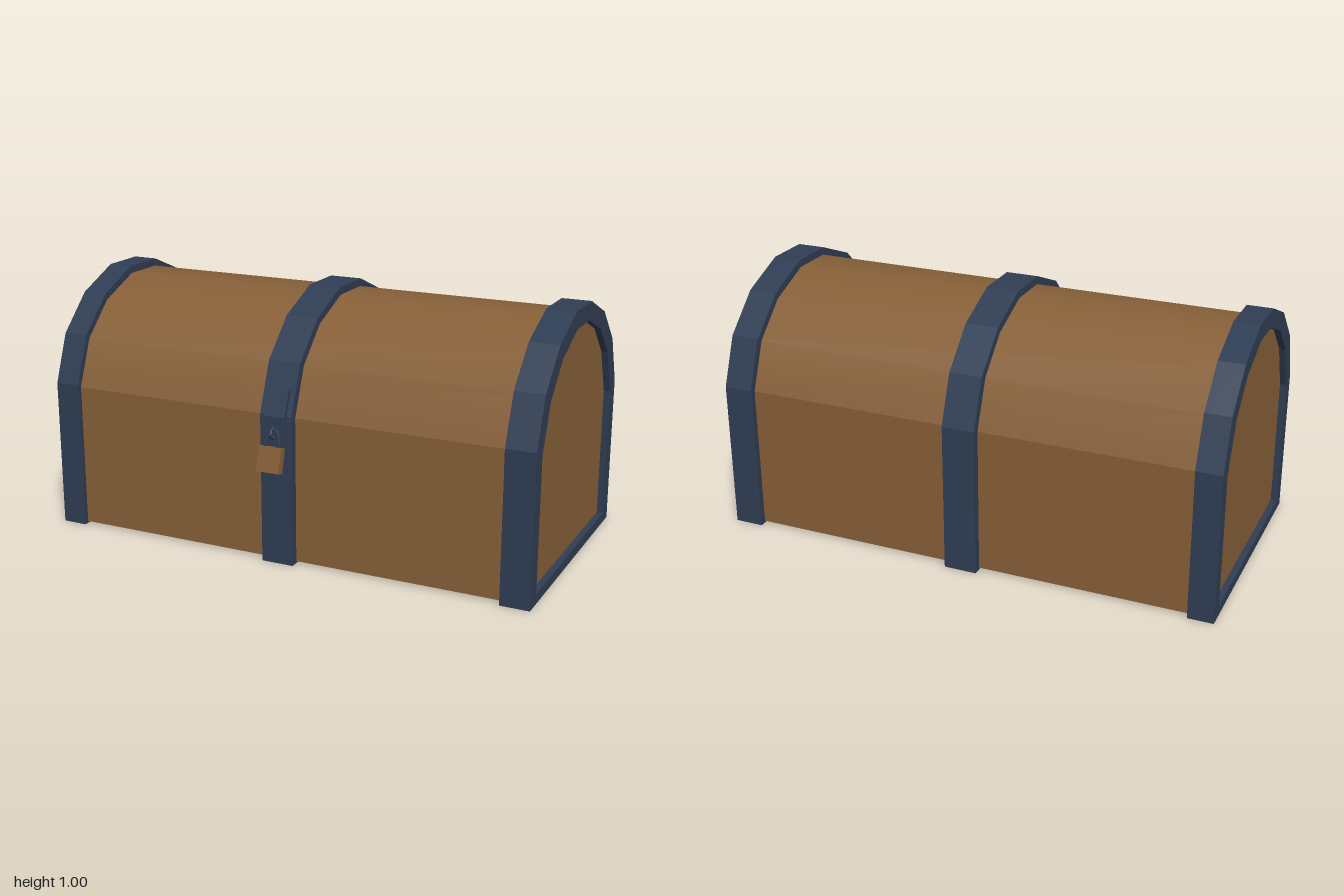
import * as THREE from 'three';
import { toCreasedNormals } from 'three/addons/utils/BufferGeometryUtils.js';

const ZC = -0.04; // depth centre of the chest

// Half arches as [half depth, height], from wall top to crown
const OUTER = [[0.512, 0.59], [0.437, 0.78], [0.29, 0.92], [0.095, 1.0]];
const WOOD = [[0.481, 0.58], [0.407, 0.765], [0.272, 0.895], [0.088, 0.97]];
const INNER = [[0.441, 0.56], [0.367, 0.74], [0.245, 0.86], [0.077, 0.93]];

// Closed profile: flat base at y = base, mirrored arch on top
function profile(half, base, scale = 1) {
  const side = base < half[0][1] ? [[half[0][0], base], ...half] : half;
  const pts = side.map(([d, y]) => new THREE.Vector2(d * scale, y));
  return [...pts, ...pts.map((p) => new THREE.Vector2(-p.x, p.y)).reverse()];
}

// Extrude a profile along x between x0 and x1
function prism(points, x0, x1, hole) {
  const shape = new THREE.Shape(points);
  if (hole) shape.holes.push(new THREE.Path(hole));
  return new THREE.ExtrudeGeometry(shape, { depth: x1 - x0, bevelEnabled: false })
    .rotateY(Math.PI / 2)
    .translate(x0, 0, ZC);
}

export function createModel() {
  const chest = new THREE.Group();
  chest.name = 'chest';
  const wood = new THREE.MeshStandardMaterial({ color: 0x865f38 });
  wood.name = 'wood brown';
  const iron = new THREE.MeshStandardMaterial({ color: 0x2f3d53 });
  iron.name = 'iron blue';

  const add = (name, geometry, material, parent = chest) => {
    const mesh = new THREE.Mesh(geometry, material);
    mesh.name = name;
    parent.add(mesh);
    return mesh;
  };

  // Wooden box and rounded lid
  add('box', new THREE.BoxGeometry(1.95, 0.572, 0.962).translate(0, 0.294, ZC), wood);
  add('lid', toCreasedNormals(prism(profile(WOOD, 0.58), -0.975, 0.975), 0.6), wood);

  // Iron bands: [name, x start, x end, depth scale]
  for (const [name, x0, x1, s] of [
    ['rightBand', -1, -0.9, 0.978],
    ['middleBand', -0.07, 0.06, 1.002],
    ['leftBand', 0.885, 1, 0.99],
  ]) {
    add(name, prism(profile(OUTER, 0, s), x0, x1, profile(INNER, 0.04)), iron);
  }

  // Hasp: lower plate on the wall, strap folding over the lid
  const front = ZC + 0.513;
  add('lockPlate', new THREE.BoxGeometry(0.13, 0.16, 0.02).translate(0, 0.5, front), iron);
  const strap = [[-0.01, 0.49], [0.016, 0.49], [0.016, 0.59], [-0.024, 0.692], [-0.036, 0.687], [-0.01, 0.58]]
    .map(([d, y]) => new THREE.Vector2(-(d + 0.513), y));
  add('strap', prism(strap, -0.045, 0.04), iron);

  // Staple: small faceted loop standing out from the hasp
  const staple = add('staple', new THREE.TorusGeometry(0.02, 0.006, 5, 8), iron);
  staple.geometry = toCreasedNormals(staple.geometry, 0.3);
  staple.rotation.y = Math.PI / 2;
  staple.position.set(-0.003, 0.53, 0.5);

  // Padlock hanging from the staple, its foot tilted outward
  const padlock = new THREE.Group();
  padlock.name = 'padlock';
  padlock.position.set(-0.003, 0.434, 0.522);
  padlock.rotation.x = -0.25;
  chest.add(padlock);
  add('lockBody', new THREE.BoxGeometry(0.094, 0.096, 0.032), wood, padlock);
  const bow = new THREE.CatmullRomCurve3(
    [[-0.027, 0.04], [-0.026, 0.075], [-0.013, 0.108], [0.013, 0.108], [0.026, 0.075], [0.027, 0.04]]
      .map(([x, y]) => new THREE.Vector3(x, y, 0)));
  add('shackle', new THREE.TubeGeometry(bow, 12, 0.007, 6), iron, padlock);

  return chest;
}
